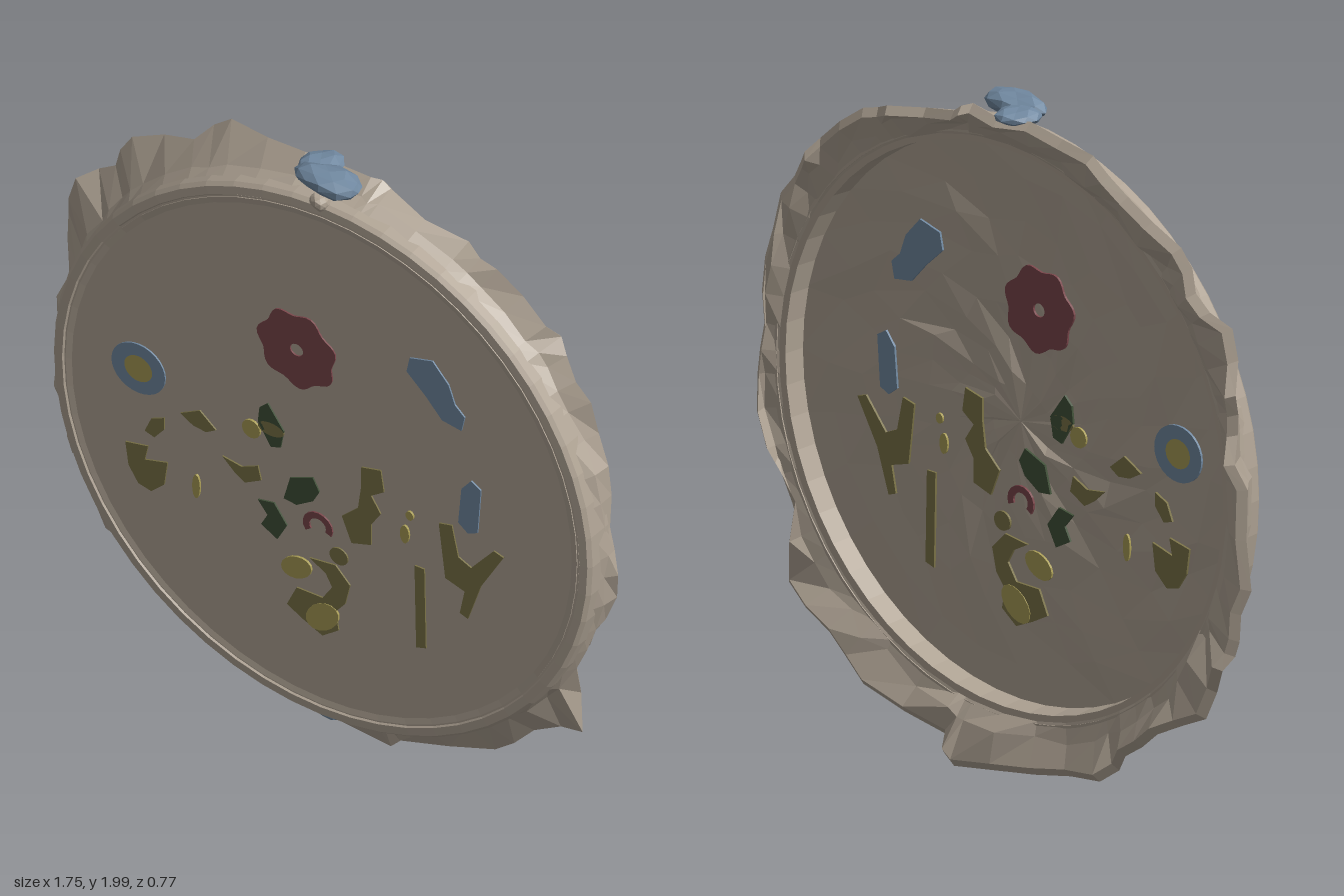
import * as THREE from 'three';

const TILT = 0.343, CX = -0.025, CY = 1.02, CZ = 0.085;

const flat = (name, color) => {
  const m = new THREE.MeshStandardMaterial({ color, flatShading: true, side: THREE.DoubleSide });
  m.name = name;
  return m;
};

// repeatable noise in -1..1
const noise = (a, b = 0) => {
  const s = Math.sin(a * 127.1 + b * 311.7) * 43758.5453;
  return (s - Math.floor(s)) * 2 - 1;
};

export function createModel() {
  const linen = flat('linen', 0xafa394);
  const red = flat('red thread', 0x7a464b);
  const blue = flat('blue thread', 0x7189a1);
  const olive = flat('olive thread', 0x7a7247);
  const green = flat('green thread', 0x405038);
  const yellow = flat('yellow thread', 0xa89c56);

  const model = new THREE.Group();
  model.name = 'embroideryHoop';
  const hoop = new THREE.Group();
  hoop.name = 'tiltedHoop';
  hoop.position.set(CX, CY, CZ);
  hoop.rotation.y = -TILT;
  model.add(hoop);

  const add = (name, geometry, material, parent = hoop) => {
    const mesh = new THREE.Mesh(geometry, material);
    mesh.name = name;
    parent.add(mesh);
    return mesh;
  };

  // Hoop frame: outer ring and a slimmer inner ring
  const ring = (name, profile) => add(name, new THREE.LatheGeometry(
    profile.map(p => new THREE.Vector2(...p)), 56).rotateX(Math.PI / 2), linen);
  ring('outerRing', [[0.845, -0.006], [0.85, 0.001], [0.875, 0], [0.885, -0.012], [0.89, -0.09], [0.845, -0.095], [0.845, -0.006]]);
  ring('innerRing', [[0.815, -0.005], [0.84, -0.001], [0.845, -0.085], [0.82, -0.085], [0.815, -0.005]]);

  // Stretched cloth: smooth front, crumpled back
  add('clothFront', new THREE.CircleGeometry(0.846, 56).translate(0, 0, -0.004), linen);
  const back = new THREE.RingGeometry(0.001, 0.825, 28, 7);
  const bp = back.attributes.position;
  for (let i = 0; i < bp.count; i++) {
    const x = bp.getX(i), y = bp.getY(i);
    const r = Math.hypot(x, y);
    const k = r > 0.81 || r < 0.01 ? 0 : 1;
    const qx = Math.round(x * 100), qy = Math.round(y * 100);
    bp.setXYZ(i, x + k * 0.025 * noise(qx, qy), y + k * 0.025 * noise(qy, qx), -0.019 + k * 0.007 * noise(qx + 5, qy));
  }
  add('clothBack', back, linen);

  // Ragged cloth edge gathered behind the hoop
  const edge = [
    [0.1, 1.96], [-0.1, 1.96], [-0.35, 1.94], [-0.45, 1.84], [-0.65, 1.75], [-0.7, 1.63], [-0.81, 1.55],
    [-0.86, 1.38], [-0.84, 1.25], [-0.88, 1.1], [-0.88, 0.8], [-0.84, 0.64], [-0.8, 0.55], [-0.72, 0.38],
    [-0.57, 0.3], [-0.45, 0.2], [-0.36, 0.1], [-0.12, 0.05], [0.15, 0.005], [0.2, 0.07], [0.48, 0.15],
    [0.6, 0.27], [0.77, 0.36], [0.75, 0.6], [0.82, 0.75], [0.88, 0.95], [0.85, 1.1], [0.84, 1.3],
    [0.79, 1.5], [0.71, 1.62], [0.65, 1.7], [0.5, 1.83], [0.4, 1.87], [0.15, 1.93],
  ].map(([x, y]) => [(x - 0.02) / 0.942, y - CY]);
  const rim = [];
  edge.forEach((p, i) => {
    const q = edge[(i + 1) % edge.length];
    rim.push(p, [(p[0] + q[0]) / 2 * (1 + 0.012 * noise(i)), (p[1] + q[1]) / 2 * (1 + 0.012 * noise(i))]);
  });
  const n = rim.length, rows = 6, verts = [], faces = [];
  rim.forEach(([u, v], i) => {
    const a = Math.atan2(v, u), r = Math.hypot(u, v);
    const lift = 0.022 * noise(i, 3) - 0.012 * Math.cos(a + Math.PI);
    const section = [
      [0.882, -0.03],
      [0.897 + 0.008 * noise(i, 1), -0.07 + 0.01 * noise(i, 2)],
      [r, -0.125 + lift],
      [r * 0.975, -0.145 + lift],
      [0.885 + 0.018 * noise(i, 4), -0.115 + 0.018 * noise(i, 5)],
      [0.838, -0.09],
    ];
    section.forEach(([s, z]) => verts.push(s * Math.cos(a), s * Math.sin(a), z));
    for (let j = 0; j < rows - 1; j++) {
      const p = i * rows + j, q = ((i + 1) % n) * rows + j;
      faces.push(p, p + 1, q, q, p + 1, q + 1);
    }
  });
  const fringe = new THREE.BufferGeometry();
  fringe.setAttribute('position', new THREE.Float32BufferAttribute(verts, 3));
  fringe.setIndex(faces);
  fringe.computeVertexNormals();
  add('raggedClothEdge', fringe, linen);

  // Lumpy knots at the top and bottom of the hoop
  const lump = (name, material, pos, size) => {
    const g = new THREE.IcosahedronGeometry(1, 1), p = g.attributes.position;
    for (let i = 0; i < p.count; i++) {
      const k = 0.88 + 0.12 * noise(Math.round(p.getX(i) * 50), Math.round(p.getY(i) * 50 + p.getZ(i) * 90));
      p.setXYZ(i, p.getX(i) * k, p.getY(i) * k, p.getZ(i) * k);
    }
    add(name, g.scale(...size), material).position.set(...pos);
  };
  lump('topClasp', blue, [0.0, 0.94, -0.04], [0.12, 0.042, 0.065]);
  lump('claspTail', blue, [-0.06, 0.935, -0.09], [0.07, 0.03, 0.08]);
  lump('claspKnot', linen, [-0.01, 0.885, -0.01], [0.035, 0.03, 0.03]);
  lump('bottomKnot', blue, [-0.03, -0.93, -0.085], [0.06, 0.02, 0.03]);

  // Stitched motifs, a thin plate on each side of the cloth
  const stitch = new THREE.Group();
  stitch.name = 'stitchedMotifs';
  hoop.add(stitch);
  const toLocal = ([x, y]) => new THREE.Vector2((x - CX) / 0.942, y - CY);
  const plate = (name, material, points, hole) => {
    const shape = new THREE.Shape(points.map(toLocal));
    if (hole) shape.holes.push(new THREE.Path(hole.map(toLocal)));
    const g = new THREE.ExtrudeGeometry(shape, { depth: 0.007, bevelEnabled: false });
    add(name + 'Front', g, material, stitch).position.z = -0.006;
    add(name + 'Back', g, material, stitch).position.z = -0.032;
  };
  const oval = (x, y, rx, ry = rx, wave = 0, turn = 0, count = 28) =>
    Array.from({ length: count }, (_, i) => {
      const a = i / count * Math.PI * 2, k = 1 + wave * Math.cos(a * 7);
      const px = rx * k * Math.cos(a), py = ry * k * Math.sin(a);
      return [x + px * Math.cos(turn) - py * Math.sin(turn), y + px * Math.sin(turn) + py * Math.cos(turn)];
    });

  // Flowers
  plate('redFlower', red, oval(-0.1, 1.37, 0.116, 0.122, 0.07, 0.3, 56), oval(-0.1, 1.37, 0.02));
  plate('ringFlower', blue, oval(-0.59, 1.085, 0.083), oval(-0.59, 1.085, 0.043));
  plate('ringFlowerCentre', yellow, oval(-0.59, 1.085, 0.043));
  plate('blueFlower', blue, [[0.24, 1.45], [0.25, 1.5], [0.32, 1.52], [0.37, 1.46], [0.39, 1.4], [0.42, 1.37], [0.41, 1.32], [0.35, 1.33], [0.3, 1.39]]);
  plate('blueBud', blue, [[0.4, 1.0], [0.43, 0.975], [0.46, 0.99], [0.47, 1.14], [0.44, 1.16], [0.41, 1.12]]);
  const arc = Array.from({ length: 12 }, (_, i) => -0.4 + i * 0.38);
  const arcAt = r => a => [-0.035 + r * Math.cos(a), 0.79 + r * Math.sin(a)];
  plate('redCurl', red, [...arc.map(arcAt(0.046)), ...arc.map(arcAt(0.026)).reverse()]);

  // Green leaves
  plate('greenLeafTop', green, [[-0.22, 1.07], [-0.215, 1.12], [-0.19, 1.145], [-0.14, 1.07], [-0.15, 1.01], [-0.18, 1.0]]);
  plate('greenLeafMiddle', green, [[-0.14, 0.84], [-0.12, 0.92], [-0.05, 0.95], [-0.03, 0.91], [-0.05, 0.87], [-0.1, 0.835]]);
  plate('greenLeafLow', green, [[-0.22, 0.8], [-0.17, 0.81], [-0.13, 0.75], [-0.16, 0.69], [-0.21, 0.72], [-0.19, 0.76]]);

  // Olive leaves and stems
  plate('oliveLeafA', olive, [[-0.46, 0.99], [-0.4, 1.025], [-0.35, 0.98], [-0.38, 0.96], [-0.42, 0.965]]);
  plate('oliveLeafB', olive, [[-0.57, 0.88], [-0.55, 0.93], [-0.51, 0.95], [-0.51, 0.91], [-0.54, 0.87]]);
  plate('oliveLeafC', olive, [[-0.63, 0.815], [-0.56, 0.83], [-0.57, 0.78], [-0.5, 0.8], [-0.51, 0.72], [-0.55, 0.68], [-0.59, 0.69], [-0.62, 0.74]]);
  plate('oliveLeafD', olive, [[-0.33, 0.9], [-0.27, 0.89], [-0.22, 0.915], [-0.21, 0.87], [-0.26, 0.84], [-0.29, 0.86]]);
  plate('oliveLeafE', olive, oval(-0.18, 1.06, 0.04, 0.022));
  plate('oliveStem', olive, [[0.1, 1.055], [0.16, 1.07], [0.17, 1.0], [0.13, 0.97], [0.16, 0.92], [0.13, 0.87], [0.13, 0.8], [0.07, 0.78], [0.04, 0.86], [0.09, 0.91], [0.1, 0.99]]);
  plate('oliveDot', olive, oval(0.03, 0.715, 0.028));
  plate('lowerLeaf', olive, [[-0.06, 0.67], [0.02, 0.68], [0.065, 0.63], [0.05, 0.56], [0.02, 0.52], [0.03, 0.46], [-0.02, 0.42], [-0.08, 0.45], [-0.13, 0.48], [-0.1, 0.55], [-0.02, 0.55], [0.01, 0.6], [-0.01, 0.64]]);
  plate('rightStalk', olive, [[0.265, 0.79], [0.295, 0.79], [0.3, 0.52], [0.27, 0.51]]);
  plate('rightBranch', olive, [[0.34, 0.97], [0.38, 0.98], [0.4, 0.88], [0.44, 0.86], [0.51, 0.95], [0.54, 0.94], [0.47, 0.81], [0.43, 0.68], [0.405, 0.69], [0.42, 0.77], [0.36, 0.79], [0.35, 0.88]]);

  // Yellow petals
  [[-0.24, 1.035, 0.028, 0.03], [-0.41, 0.76, 0.012, 0.04], [0.25, 0.955, 0.012, 0.015], [0.235, 0.885, 0.014, 0.03],
    [-0.1, 0.62, 0.05, 0.035, 0.5], [-0.02, 0.485, 0.06, 0.04, 0.8]].forEach(([x, y, rx, ry, turn = 0], i) => {
    const g = oval(x, y, rx, ry, 0, turn, 16);
    plate('yellowPetal' + (i + 1), yellow, g);
  });
  // raise the petals over the leaf beneath
  stitch.children.filter(m => m.name.startsWith('yellowPetal')).forEach(m => {
    m.position.z += m.name.endsWith('Front') ? 0.002 : -0.002;
  });

  return model;
}
